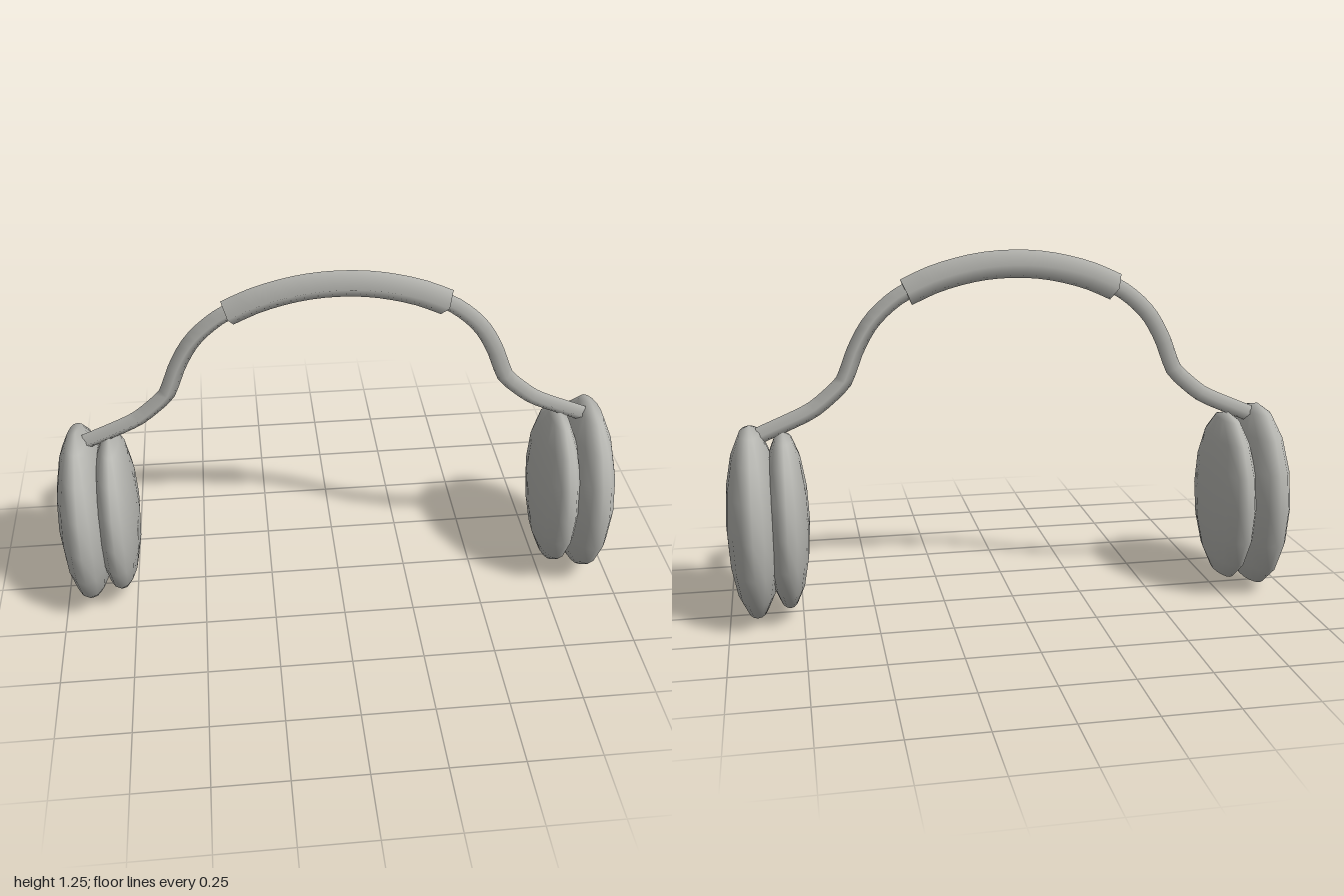
import * as THREE from 'three';

const grey = new THREE.MeshStandardMaterial({ color: 0xb6b6b1 });
grey.name = 'warm grey';

// Flattened ball standing upright, used for the cups and cushions
function pad(name, x, rx, ry, rz) {
  const geometry = new THREE.SphereGeometry(1, 16, 8).scale(rx, ry, rz);
  const mesh = new THREE.Mesh(geometry, grey);
  mesh.name = name;
  mesh.position.set(x, 0.348, 0);
  return mesh;
}

// Four-sided rod along a mirrored path, closed at both ends
function rod(name, half, radius, segments) {
  const points = [
    ...half.map(([x, y]) => new THREE.Vector3(-x, y, 0)).reverse(),
    ...half.slice(1).map(([x, y]) => new THREE.Vector3(x, y, 0)),
  ];
  const curve = new THREE.CatmullRomCurve3(points, false, 'centripetal');
  const group = new THREE.Group();
  group.name = name;
  group.add(new THREE.Mesh(new THREE.TubeGeometry(curve, segments, radius, 4), grey));
  for (const [t, sign] of [[0, -1], [1, 1]]) {
    const cap = new THREE.Mesh(new THREE.CircleGeometry(radius, 4), grey);
    cap.name = 'endCap';
    cap.position.copy(curve.getPointAt(t));
    cap.lookAt(cap.position.clone().addScaledVector(curve.getTangentAt(t), sign));
    group.add(cap);
  }
  return group;
}

export function createModel() {
  const model = new THREE.Group();
  model.name = 'headphones';

  // Ear pieces
  for (const [side, s] of [['left', 1], ['right', -1]]) {
    model.add(pad(side + 'OuterCup', s * 0.906, 0.094, 0.341, 0.269));
    model.add(pad(side + 'InnerCushion', s * 0.795, 0.08, 0.313, 0.246));
  }

  // Headband wire, from the crown down to the cups
  model.add(rod('headbandWire', [
    [0, 1.215], [0.19, 1.192], [0.365, 1.127], [0.43, 1.083], [0.49, 1.022],
    [0.54, 0.935], [0.565, 0.87], [0.585, 0.825], [0.62, 0.79],
    [0.685, 0.737], [0.72, 0.718], [0.874, 0.652],
  ], 0.029, 64));

  // Padded sleeve over the crown
  model.add(rod('headbandSleeve', [
    [0, 1.213], [0.1, 1.207], [0.19, 1.19], [0.28, 1.163], [0.365, 1.125],
  ], 0.048, 16));

  return model;
}
